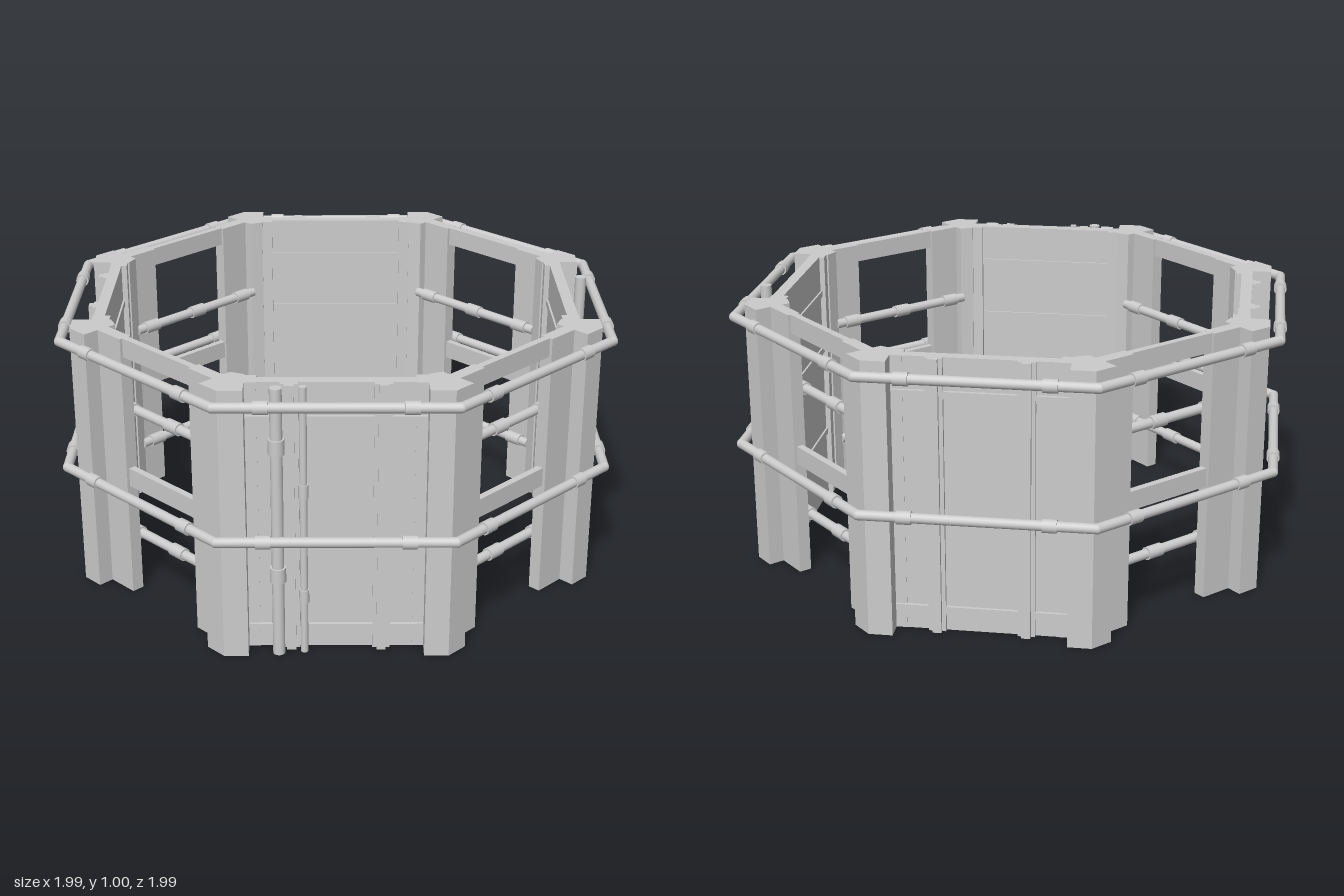
import * as THREE from 'three';

const mat = new THREE.MeshStandardMaterial({ color: 0xcccccc });

function add(parent, geo, name, x = 0, y = 0, z = 0) {
  const m = new THREE.Mesh(geo, mat);
  m.name = name;
  m.position.set(x, y, z);
  parent.add(m);
  return m;
}

// Box given by its limits along the side (x), height (y) and outward distance (z)
function block(parent, name, x0, x1, y0, y1, z0, z1) {
  return add(parent, new THREE.BoxGeometry(x1 - x0, y1 - y0, z1 - z0), name,
    (x0 + x1) / 2, (y0 + y1) / 2, (z0 + z1) / 2);
}

// Straight pipe along 'x' or 'y' with thicker couplings at the given offsets
function pipe(parent, name, axis, from, to, at, r, couplings, couplingLength = 0.05) {
  const g = new THREE.Group();
  g.name = name;
  const put = (part, radius, length, centre) => {
    const m = add(g, new THREE.CylinderGeometry(radius, radius, length, 16), part);
    if (axis === 'x') { m.rotation.z = Math.PI / 2; m.position.x = centre; }
    else m.position.y = centre;
  };
  put('tube', r, to - from, (from + to) / 2);
  for (const c of couplings) put('coupling', r * 1.32, couplingLength, c);
  g.position.set(...at);
  parent.add(g);
}

// Corner post: five-sided plan, extruded upwards, bent around the octagon corner
function post() {
  const t = Math.tan(Math.PI / 8), d = 0.936, w = 0.085, depth = 0.137, s = Math.SQRT1_2;
  const c = [d * t, d], a = [c[0] - w, d], b = [c[0] + w * s, d - w * s];
  const plan = [a, c, b, [b[0] - depth * s, b[1] - depth * s], [a[0], d - depth]];
  const shape = new THREE.Shape(plan.map(([x, z]) => new THREE.Vector2(x, -z)));
  const geo = new THREE.ExtrudeGeometry(shape, { depth: 1, bevelEnabled: false });
  return geo.rotateX(-Math.PI / 2);
}

// Open bay: two jambs joined by a head beam and a middle beam, with inner pipes
function openBay(side) {
  for (const s of [-1, 1]) {
    block(side, 'jamb', s < 0 ? -0.31 : 0.18, s < 0 ? -0.18 : 0.31, 0, 1, 0.83, 0.877);
  }
  block(side, 'headBeam', -0.18, 0.18, 0.93, 1, 0.84, 0.866);
  block(side, 'middleBeam', -0.18, 0.18, 0.43, 0.5, 0.84, 0.866);
  for (const y of [0.205, 0.7]) {
    pipe(side, 'innerPipe', 'x', -0.31, 0.31, [0, y, 0.8], 0.018, [-0.24, 0, 0.24], 0.065);
  }
}

// Closed bay: wall panel with edge trims and horizontal ribs
function closedBay(side) {
  block(side, 'wallPanel', -0.31, 0.31, 0, 1, 0.825, 0.866);
  for (const s of [-1, 1]) {
    block(side, 'edgeTrim', s < 0 ? -0.305 : 0.263, s < 0 ? -0.263 : 0.305, 0, 1, 0.805, 0.868);
  }
  for (const y of [0.08, 0.87]) block(side, 'outerRib', -0.3, 0.3, y - 0.013, y + 0.013, 0.86, 0.878);
  for (const y of [0.27, 0.62, 0.85]) block(side, 'innerRib', -0.27, 0.27, y - 0.012, y + 0.012, 0.818, 0.83);
}

function wallChannels(side) {
  for (const x of [-0.155, 0.155]) {
    block(side, 'wallChannel', x - 0.03, x + 0.03, 0, 1, 0.86, 0.88);
    block(side, 'channelRidge', x - 0.016, x + 0.016, 0, 1, 0.87, 0.896);
  }
}

export function createModel() {
  const model = new THREE.Group();
  model.name = 'octagonalEnclosure';
  const postGeo = post();
  const apothem = 0.972, half = apothem * Math.tan(Math.PI / 8);

  // Each side is built facing +z and turned into place
  for (let i = 0; i < 8; i++) {
    const side = new THREE.Group();
    side.name = i % 2 ? 'closedSide' : 'openSide';
    side.rotation.y = i * Math.PI / 4;
    model.add(side);
    add(side, postGeo, 'cornerPost');

    // Two rails running all around, with round corner joints
    for (const y of [0.465, 0.956]) {
      pipe(side, 'ringRail', 'x', -half, half, [0, y, apothem], 0.018, [-0.245, 0.245]);
      add(side, new THREE.SphereGeometry(0.0185, 16, 10), 'railCorner', half, y, apothem);
    }

    if (i % 2 === 0) { openBay(side); continue; }
    closedBay(side);
    if (i !== 1) wallChannels(side);

    // Service pipes on the two front diagonals
    if (i === 1) {
      pipe(side, 'standPipe', 'y', 0, 1, [0.138, 0, 0.927], 0.021, [0.31, 0.79], 0.055);
      pipe(side, 'crossPipe', 'x', -0.3, 0.3, [0, 0.61, 0.89], 0.014, [-0.17, 0.1, 0.25]);
      pipe(side, 'crossPipe', 'x', -0.3, 0.3, [0, 0.55, 0.89], 0.014, [-0.19, 0.05, 0.27]);
    }
    if (i === 7) {
      pipe(side, 'standPipe', 'y', 0, 1, [-0.198, 0, 0.912], 0.021, [0.31, 0.79], 0.055);
      pipe(side, 'thinStandPipe', 'y', 0, 1, [-0.11, 0, 0.902], 0.013, [0.22, 0.62]);
    }
  }
  return model;
}
